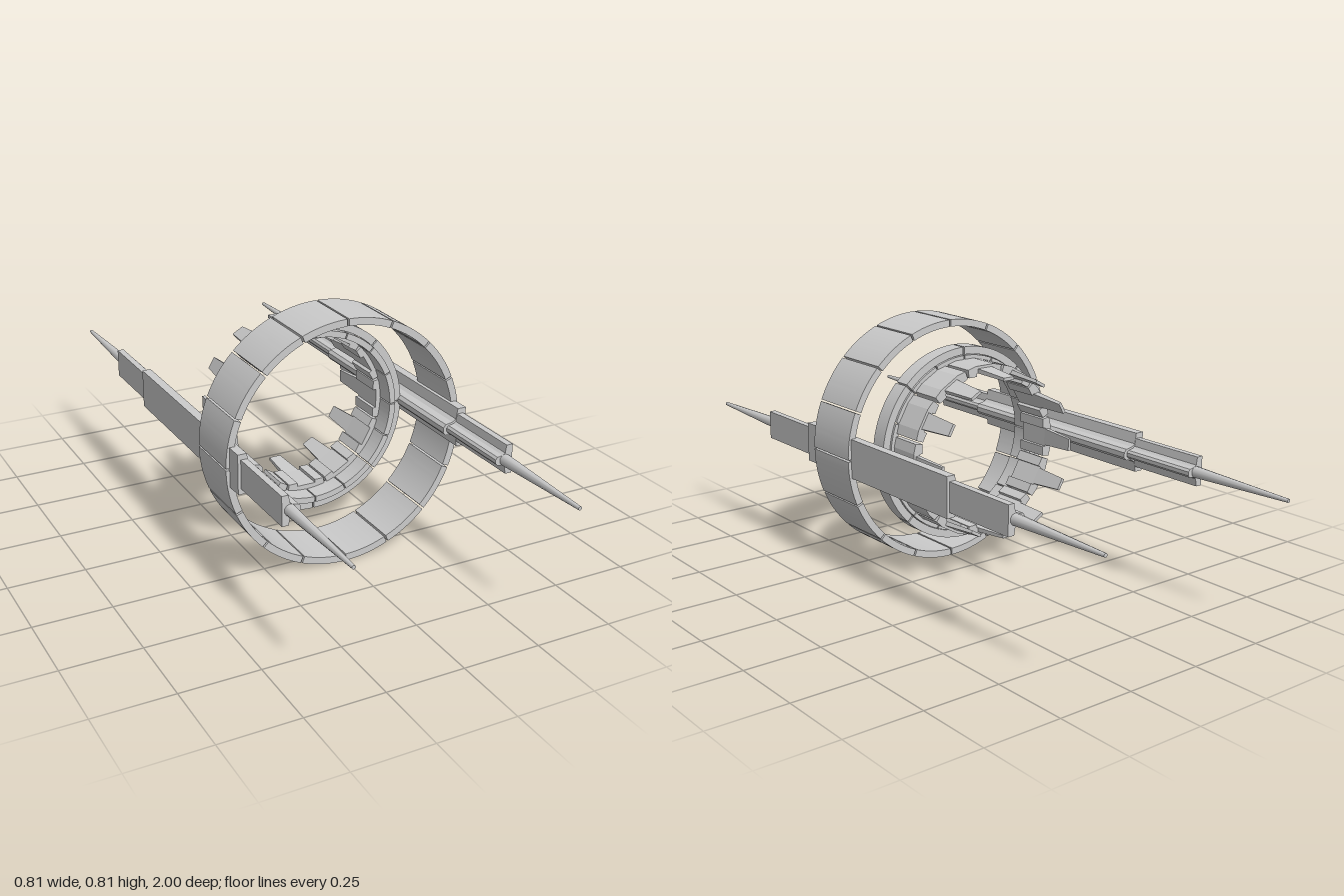
import * as THREE from 'three';
import { toCreasedNormals } from 'three/addons/utils/BufferGeometryUtils.js';

const material = new THREE.MeshStandardMaterial({ color: 0xcccccc });
const AXIS_Y = 0.411;

function addMesh(parent, geometry, name) {
  const mesh = new THREE.Mesh(geometry, material);
  mesh.name = name;
  parent.add(mesh);
  return mesh;
}

function extrude(shape, z0, z1) {
  const g = new THREE.ExtrudeGeometry(shape, { depth: z1 - z0, bevelEnabled: false, curveSegments: 8 });
  g.translate(0, 0, z0);
  return g;
}

function polygon(points) {
  return new THREE.Shape(points.map(([x, y]) => new THREE.Vector2(x, y)));
}

// Ring of equal arc plates separated by narrow gaps
function segmentedRing(name, count, inner, outer, z0, z1, gap) {
  const ring = new THREE.Group();
  ring.name = name;
  const step = (Math.PI * 2) / count;
  const a = gap / 2 / outer;
  const b = gap / 2 / inner;
  const shape = new THREE.Shape();
  shape.absarc(0, 0, outer, a, step - a, false);
  shape.absarc(0, 0, inner, step - b, b, true);
  const geometry = toCreasedNormals(extrude(shape, z0, z1), 0.5);
  for (let i = 0; i < count; i++) {
    addMesh(ring, geometry, name + 'Segment').rotation.z = i * step;
  }
  return ring;
}

// Tapered tooth pointing backwards from a clamp block
function toothGeometry() {
  const g = new THREE.BoxGeometry(1, 1, 1);
  const p = g.attributes.position;
  for (let i = 0; i < p.count; i++) {
    const tip = p.getZ(i) < 0;
    const top = p.getY(i) > 0;
    const radius = top ? (tip ? 0.262 : 0.272) : (tip ? 0.252 : 0.257);
    p.setXYZ(i, p.getX(i) * (tip ? 0.04 : 0.056), radius, tip ? -0.18 : -0.055);
  }
  g.computeVertexNormals();
  return g;
}

// Twelve U-shaped blocks facing the bore, each with a tooth
function clampRing() {
  const ring = new THREE.Group();
  ring.name = 'clampRing';
  const block = extrude(polygon([
    [-0.063, 0.246], [-0.032, 0.246], [-0.032, 0.257], [0.032, 0.257],
    [0.032, 0.246], [0.063, 0.246], [0.067, 0.272], [0.036, 0.28],
    [-0.036, 0.28], [-0.067, 0.272],
  ]), -0.06, 0.055);
  const tooth = toothGeometry();
  for (let i = 0; i < 12; i++) {
    const unit = new THREE.Group();
    unit.name = 'clampUnit';
    unit.rotation.z = (i * Math.PI) / 6;
    addMesh(unit, block, 'clampBlock');
    addMesh(unit, tooth, 'tooth');
    ring.add(unit);
  }
  return ring;
}

// Long side rail: flanged section in two steps with a spike at each end
function sideRail(name) {
  const rail = new THREE.Group();
  rail.name = name;
  const half = [[0.035, 0.064], [0.006, 0.064], [0, 0.03], [-0.012, 0.022], [-0.036, 0.018], [-0.045, 0.008]];
  const outline = [...half, ...half.map(([x, y]) => [x, -y]).reverse()];
  addMesh(rail, extrude(polygon(outline), -0.378, 0.378), 'railCore');
  const small = outline.map(([x, y]) => [x * 0.73, y * 0.73]);
  addMesh(rail, extrude(polygon(small), -0.643, 0.643), 'railExtension');
  for (const s of [1, -1]) {
    const spike = addMesh(rail, new THREE.CylinderGeometry(0.006, 0.019, 0.37, 10), 'spike');
    spike.rotation.x = (s * Math.PI) / 2;
    spike.position.z = s * 0.815;
  }
  return rail;
}

export function createModel() {
  const model = new THREE.Group();
  model.name = 'ringStation';

  const outerRing = segmentedRing('outerRing', 16, 0.381, 0.404, 0.12, 0.32, 0.006);
  outerRing.position.y = 0.405;
  model.add(outerRing);

  const core = new THREE.Group();
  core.name = 'core';
  core.position.y = AXIS_Y;
  core.add(segmentedRing('middleRing', 8, 0.295, 0.32, 0.05, 0.105, 0.005));
  core.add(segmentedRing('innerRing', 16, 0.273, 0.293, 0.045, 0.118, 0.004));
  core.add(clampRing());
  model.add(core);

  // Rails face outwards on both sides
  const left = sideRail('leftRail');
  left.position.set(0.357, AXIS_Y, 0);
  const right = sideRail('rightRail');
  right.position.set(-0.357, AXIS_Y, 0);
  right.rotation.z = Math.PI;
  model.add(left, right);

  return model;
}
